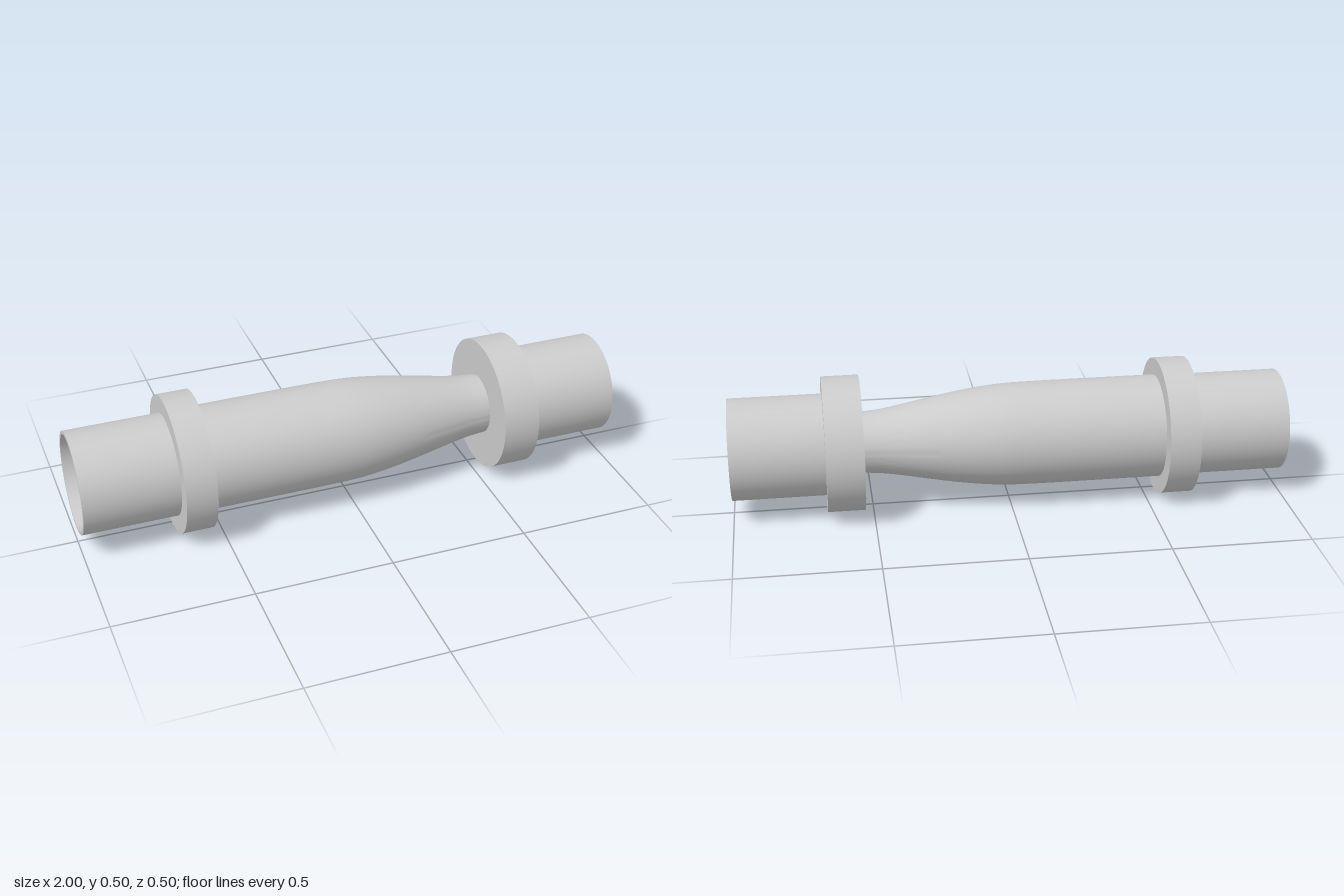
import * as THREE from 'three';
import { toCreasedNormals } from 'three/addons/utils/BufferGeometryUtils.js';

const AXIS_HEIGHT = 0.25;
const material = new THREE.MeshStandardMaterial({ color: 0xcccccc });

// Turns a profile of [position along x, radius] around the long axis.
// Profiles running towards +x face outwards, towards -x face inwards.
function turned(name, profile) {
  const points = profile.map(([x, r]) => new THREE.Vector2(r, x));
  const geometry = new THREE.LatheGeometry(points, 96).rotateZ(-Math.PI / 2);
  const mesh = new THREE.Mesh(toCreasedNormals(geometry, 0.5), material);
  mesh.name = name;
  return mesh;
}

// Smooths a few profile points into a flowing curve.
function smooth(profile, steps = 32) {
  const curve = new THREE.SplineCurve(profile.map(([x, r]) => new THREE.Vector2(x, r)));
  return curve.getPoints(steps).map((p) => [p.x, p.y]);
}

// Collar whose two side faces meet the neighbouring parts.
function collar(name, x0, x1, radius, r0, r1) {
  return turned(name, [[x0, r0], [x0, radius], [x1, radius], [x1, r1]]);
}

export function createModel() {
  const group = new THREE.Group();
  group.name = 'taperedPipeFitting';

  // Wide, thin-walled end
  group.add(turned('wideEndPipe', [[-1, 0.172], [-1, 0.184], [-0.657, 0.184]]));
  group.add(collar('wideCollar', -0.657, -0.545, 0.249, 0.184, 0.187));

  // Body narrowing towards the second collar
  const body = smooth([
    [-0.15, 0.187], [0, 0.185], [0.1, 0.177], [0.2, 0.163],
    [0.3, 0.145], [0.4, 0.126], [0.47, 0.115], [0.533, 0.11],
  ]);
  group.add(turned('taperedBody', [[-0.545, 0.187], ...body]));

  // Thick-walled end with a narrow opening
  group.add(collar('narrowCollar', 0.533, 0.667, 0.243, 0.11, 0.182));
  group.add(turned('narrowEndPipe', [[0.667, 0.182], [1, 0.182], [1, 0.101]]));

  // Through bore following the taper
  const bore = smooth([
    [0.533, 0.101], [0.47, 0.104], [0.4, 0.114], [0.3, 0.132],
    [0.2, 0.15], [0.1, 0.163], [0, 0.17], [-0.15, 0.172],
  ]);
  group.add(turned('bore', [[1, 0.101], ...bore, [-1, 0.172]]));

  group.children.forEach((part) => { part.position.y = AXIS_HEIGHT; });
  return group;
}
